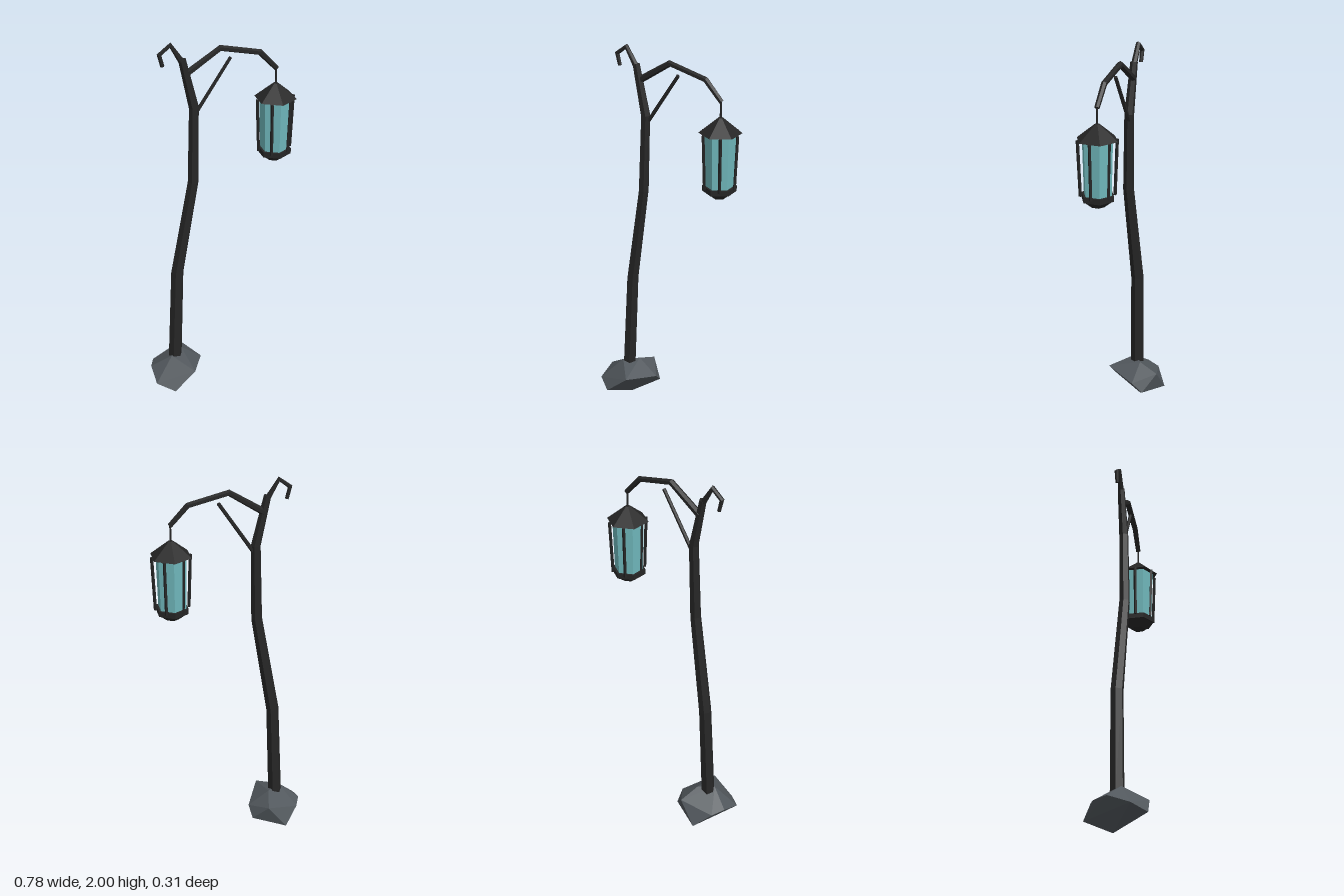
import * as THREE from 'three';
import { ConvexGeometry } from 'three/addons/geometries/ConvexGeometry.js';

const material = (name, color) => {
  const m = new THREE.MeshStandardMaterial({ color, flatShading: true });
  m.name = name;
  return m;
};

// Faceted tube through [x, y, z, radius] stations, bending in the xy plane
function limbGeometry(stations, sides = 6) {
  const pts = stations.map(([x, y, z]) => new THREE.Vector3(x, y, z));
  const pos = [];
  const rings = pts.map((p, i) => {
    const t = pts[Math.min(i + 1, pts.length - 1)].clone().sub(p).normalize()
      .add(p.clone().sub(pts[Math.max(i - 1, 0)]).normalize()).normalize();
    const n = new THREE.Vector3(-t.y, t.x, 0).normalize();
    const b = new THREE.Vector3().crossVectors(t, n);
    return Array.from({ length: sides }, (_, j) => {
      const a = (j / sides) * Math.PI * 2;
      return p.clone().addScaledVector(n, Math.cos(a) * stations[i][3])
        .addScaledVector(b, Math.sin(a) * stations[i][3]);
    });
  });
  const tri = (...v) => v.forEach((q) => pos.push(q.x, q.y, q.z));
  const last = rings.length - 1;
  for (let j = 0; j < sides; j++) {
    const k = (j + 1) % sides;
    for (let i = 0; i < last; i++) {
      tri(rings[i][j], rings[i][k], rings[i + 1][k]);
      tri(rings[i][j], rings[i + 1][k], rings[i + 1][j]);
    }
    tri(pts[0], rings[0][k], rings[0][j]);
    tri(pts[last], rings[last][j], rings[last][k]);
  }
  const g = new THREE.BufferGeometry();
  g.setAttribute('position', new THREE.Float32BufferAttribute(pos, 3));
  g.computeVertexNormals();
  return g;
}

export function createModel() {
  const model = new THREE.Group();
  model.name = 'streetLamp';
  const iron = material('darkIron', 0x262626);
  const stone = material('greyStone', 0x51575c);
  const glass = material('tealGlass', 0x70b8bc);

  const add = (parent, name, geometry, mat) => {
    const mesh = new THREE.Mesh(geometry, mat);
    mesh.name = name;
    parent.add(mesh);
    return mesh;
  };

  // Faceted boulder at the foot
  const rock = [
    [-0.285, 0.215, 0.025], [-0.215, 0.215, -0.035], [-0.285, 0.055, -0.155],
    [-0.19, 0.175, -0.142], [-0.115, 0.085, -0.085], [-0.105, 0.135, -0.03],
    [-0.19, 0.17, 0.14], [-0.305, 0.075, 0.155], [-0.39, 0.1, 0.09],
    [-0.39, 0.14, -0.02], [-0.36, 0.13, -0.09], [-0.255, 0, -0.02],
  ].map((p) => new THREE.Vector3(...p));
  add(model, 'baseRock', new ConvexGeometry(rock), stone);

  // Crooked post, its curled tip, the arm and its brace
  add(model, 'post', limbGeometry([
    [-0.26, 0.17, 0, 0.036], [-0.235, 0.72, -0.008, 0.033], [-0.148, 1.25, 0.01, 0.028],
    [-0.137, 1.65, 0.003, 0.025], [-0.192, 1.905, 0, 0.019],
  ]), iron);
  add(model, 'curledTip', limbGeometry([
    [-0.185, 1.88, 0, 0.016], [-0.248, 1.984, 0, 0.013],
    [-0.303, 1.942, 0, 0.012], [-0.288, 1.882, 0, 0.01],
  ]), iron);
  add(model, 'arm', limbGeometry([
    [-0.175, 1.825, -0.004, 0.018], [0, 1.937, -0.004, 0.016],
    [0.2, 1.89, -0.004, 0.015], [0.288, 1.795, -0.004, 0.013],
  ]), iron);
  add(model, 'brace', limbGeometry([
    [-0.125, 1.62, 0, 0.01], [0.05, 1.885, 0, 0.009],
  ]), iron);

  // Hanging six-sided lantern
  const lantern = new THREE.Group();
  lantern.name = 'lantern';
  lantern.position.set(0.286, 0, -0.004);
  model.add(lantern);
  const hex = (name, top, bottom, y0, y1, mat) => {
    const mesh = add(lantern, name, new THREE.CylinderGeometry(top, bottom, y1 - y0, 6), mat);
    mesh.position.y = (y0 + y1) / 2;
  };
  hex('hanger', 0.005, 0.005, 1.7, 1.81, iron);
  hex('roof', 0.012, 0.106, 1.64, 1.717, iron);
  hex('glassPane', 0.08, 0.073, 1.365, 1.64, glass);
  hex('collar', 0.085, 0.085, 1.34, 1.368, iron);
  hex('foot', 0.078, 0.035, 1.305, 1.34, iron);

  // Slanted bars standing off each pane
  const barGeometry = limbGeometry([[0.084, 1.36, 0, 0.008], [0.095, 1.64, 0, 0.008]], 4);
  for (let i = 0; i < 6; i++) {
    add(lantern, 'cageBar', barGeometry, iron).rotation.y = (i * Math.PI) / 3;
  }
  return model;
}
